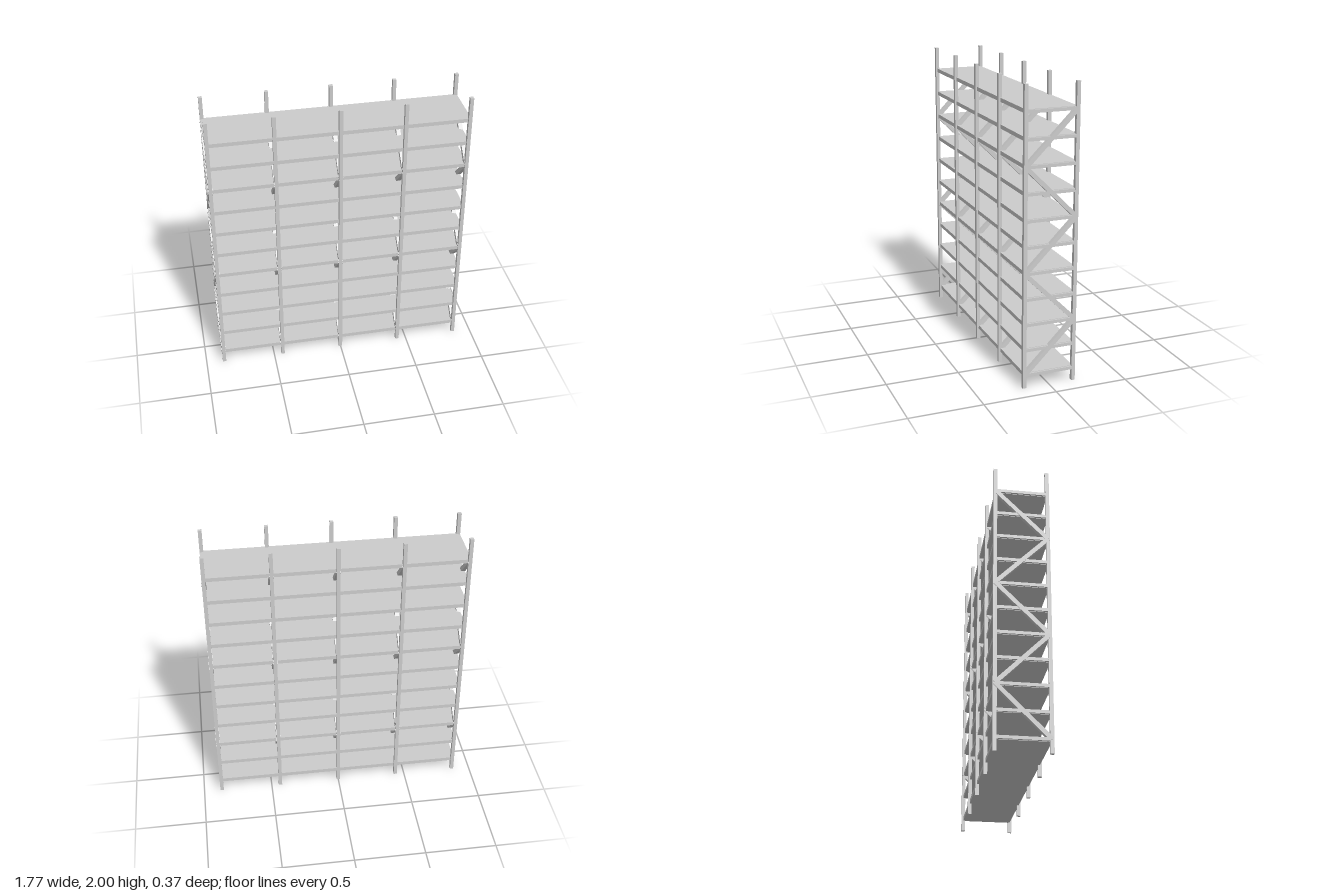
import * as THREE from 'three';

export function createModel() {
  const model = new THREE.Group();
  const material = new THREE.MeshStandardMaterial({ color: 0xcccccc, flatShading: true });

  const POST = 0.025;      // post thickness
  const HALF_DEPTH = 0.174; // post centre in z
  const BAY = 0.435;       // spacing of the upright frames
  const LEVELS = 11;
  const levelY = (i) => 0.09 + i * 0.174;

  const addBox = (parent, name, size, position) => {
    const mesh = new THREE.Mesh(new THREE.BoxGeometry(...size), material);
    mesh.name = name;
    mesh.position.set(...position);
    parent.add(mesh);
    return mesh;
  };

  // Upright frames: two posts, end rails and a zigzag of braces
  for (let f = -2; f <= 2; f++) {
    const frame = new THREE.Group();
    frame.name = 'uprightFrame';
    frame.position.x = f * BAY;
    model.add(frame);

    for (const side of [1, -1]) {
      addBox(frame, side > 0 ? 'frontPost' : 'backPost', [POST, 2, POST], [0, 1, side * HALF_DEPTH]);
    }
    for (let i = 0; i < LEVELS; i++) {
      addBox(frame, 'crossRail', [0.024, 0.021, HALF_DEPTH * 2], [0, levelY(i), 0]);
    }
    // Each brace climbs two levels, alternating between front and back
    for (let i = 0; i < LEVELS - 1; i += 2) {
      const startZ = i % 4 === 0 ? HALF_DEPTH : -HALF_DEPTH;
      const rise = levelY(i + 2) - levelY(i);
      const brace = addBox(frame, 'diagonalBrace',
        [0.029, Math.hypot(rise, 2 * HALF_DEPTH), 0.029], [0, levelY(i + 1), 0]);
      brace.rotation.x = Math.atan2(-2 * startZ, rise);
    }
  }

  // Shelves, running between the post centres
  for (let i = 0; i < LEVELS; i++) {
    addBox(model, 'shelf', [BAY * 4, 0.027, HALF_DEPTH * 2], [0, levelY(i), 0]);
  }
  return model;
}
